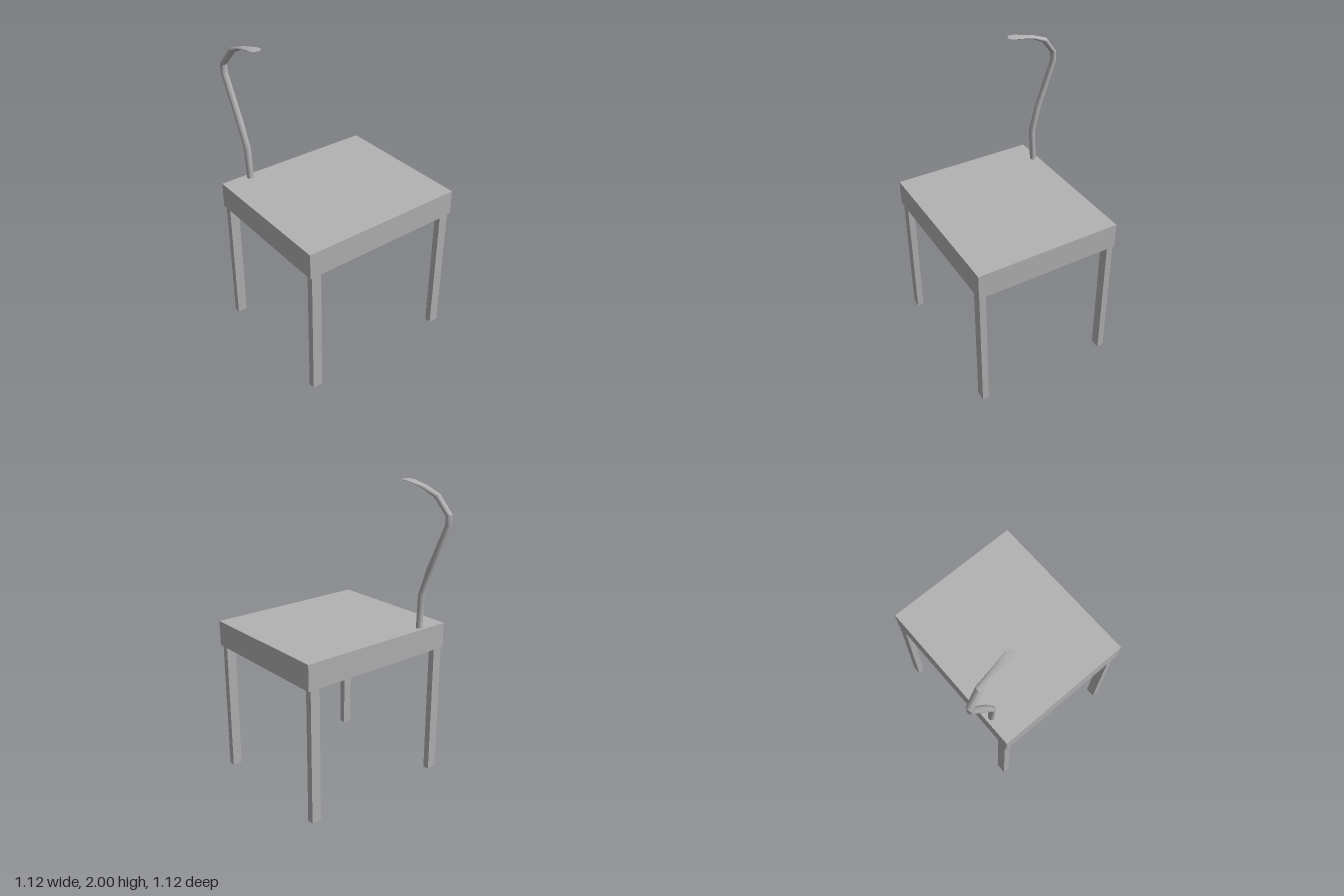
import * as THREE from 'three';
import { toCreasedNormals } from 'three/addons/utils/BufferGeometryUtils.js';

const SIDES = 20;

// Skins elliptical rings [x, y, z, radius in the bend plane, radius along z, tilt in degrees]
function loft(rings) {
  const positions = [];
  const indices = [];
  rings.forEach(([x, y, z, ru, rz, tilt]) => {
    const t = THREE.MathUtils.degToRad(tilt);
    for (let j = 0; j < SIDES; j++) {
      const a = (j / SIDES) * Math.PI * 2;
      const u = Math.cos(a) * ru;
      positions.push(x + u * Math.cos(t), y - u * Math.sin(t), z + Math.sin(a) * rz);
    }
  });
  for (let i = 0; i < rings.length - 1; i++) {
    for (let j = 0; j < SIDES; j++) {
      const k = (j + 1) % SIDES;
      const a = i * SIDES + j, b = i * SIDES + k;
      const c = b + SIDES, d = a + SIDES;
      indices.push(a, d, b, b, d, c);
    }
  }
  // flat caps at both ends
  const last = (rings.length - 1) * SIDES;
  for (let j = 1; j < SIDES - 1; j++) {
    indices.push(0, j, j + 1);
    indices.push(last, last + j + 1, last + j);
  }
  const geometry = new THREE.BufferGeometry();
  geometry.setAttribute('position', new THREE.Float32BufferAttribute(positions, 3));
  geometry.setIndex(indices);
  return toCreasedNormals(geometry, 0.45);
}

export function createModel() {
  const model = new THREE.Group();
  model.name = 'tableWithCurvedStem';
  const grey = new THREE.MeshStandardMaterial({ color: 0xb2b2b2 });
  grey.name = 'grey';

  const add = (name, geometry, x = 0, y = 0, z = 0) => {
    const mesh = new THREE.Mesh(geometry, grey);
    mesh.name = name;
    mesh.position.set(x, y, z);
    model.add(mesh);
  };

  // thick slab top
  add('tableTop', new THREE.BoxGeometry(0.97, 0.17, 1.12), 0.075, 0.985, 0);

  // four rectangular legs
  const legGeometry = new THREE.BoxGeometry(0.044, 0.9, 0.066);
  for (const [side, x] of [['Right', -0.387], ['Left', 0.529]]) {
    for (const [end, z] of [['front', 0.51], ['back', -0.512]]) {
      add(`${end}${side}Leg`, legGeometry, x, 0.45, z);
    }
  }

  // bent stem that flattens into a round tip
  add('curvedStem', loft([
    [-0.373, 1.06, 0.367, 0.019, 0.023, 0],
    [-0.369, 1.29, 0.379, 0.019, 0.023, -4],
    [-0.42, 1.46, 0.39, 0.019, 0.023, -18],
    [-0.542, 1.76, 0.406, 0.018, 0.023, -8],
    [-0.542, 1.82, 0.407, 0.018, 0.023, 12],
    [-0.458, 1.927, 0.387, 0.018, 0.024, 42],
    [-0.36, 1.969, 0.382, 0.011, 0.028, 50],
    [-0.29, 1.986, 0.378, 0.01, 0.034, 25],
    [-0.222, 1.999, 0.375, 0.04, 0.04, -1],
  ]));

  return model;
}
